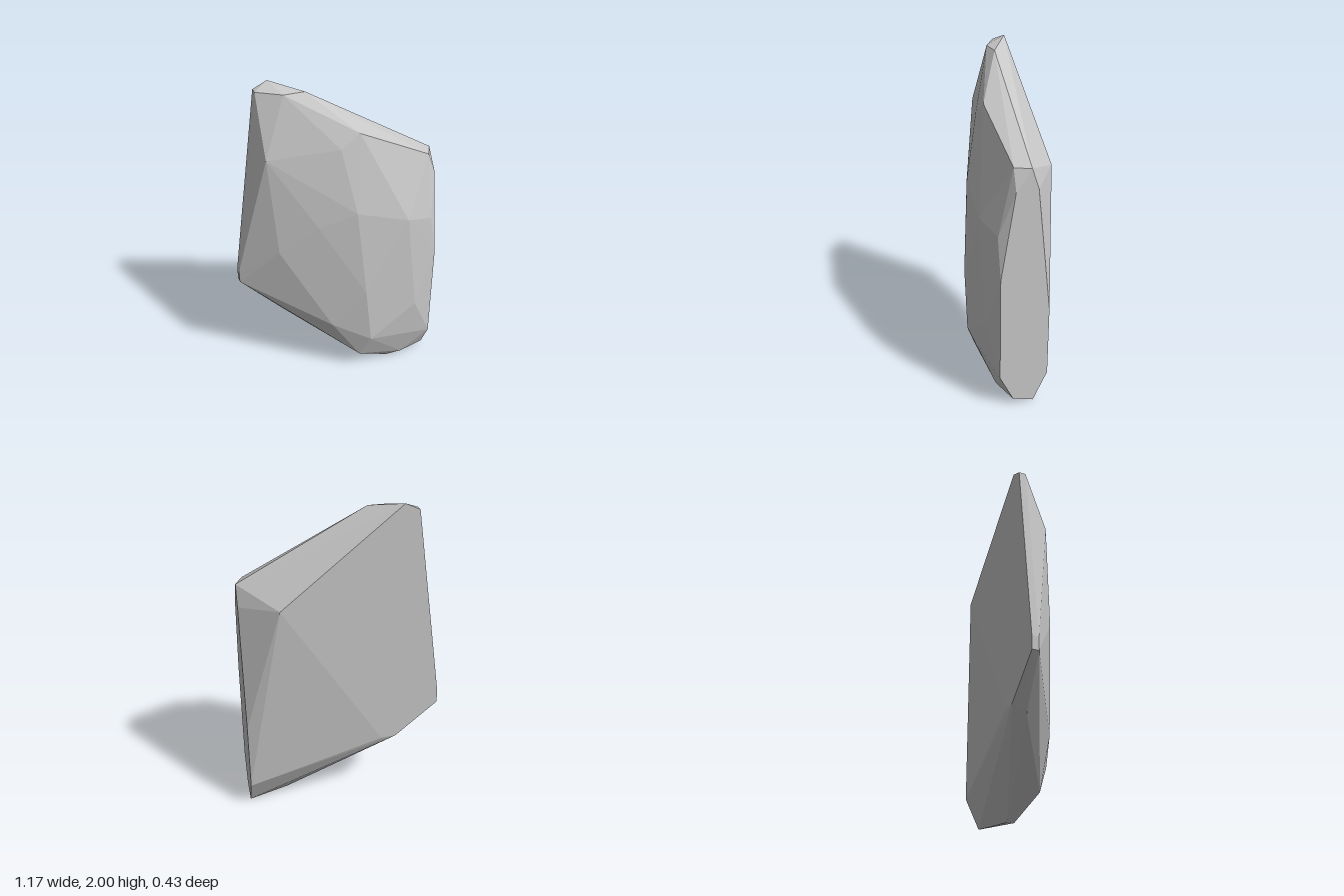
import * as THREE from 'three';
import { ConvexGeometry } from 'three/addons/geometries/ConvexGeometry.js';

// A chipped, flat-backed slab of rock: the convex hull of its corner points.
export function createModel() {
  const stone = new THREE.MeshStandardMaterial({ color: 0xc7c7c7 });
  stone.name = 'stone grey';

  const corners = [
    // flat back
    [-0.33, 2, -0.217], [-0.415, 1.96, -0.217], [0.37, 1.43, -0.217],
    [-0.588, 0.78, -0.217], [-0.588, 0.7, -0.217], [-0.33, 0.485, -0.217], [-0.24, 0.48, -0.217],
    // left edge and top ridge
    [-0.588, 0.78, -0.175], [-0.588, 0.7, -0.175], [-0.415, 1.96, -0.175],
    [-0.28, 1.96, -0.085], [-0.155, 1.96, -0.085], [0.105, 1.74, 0.087],
    [0.54, 1.525, 0.087], [-0.41, 1.6, -0.04],
    // sheer cut side
    [0.585, 1.525, 0], [0.585, 1.4, 0.09], [0.585, 0.88, 0.175], [0.585, 0.22, 0.175],
    [0.585, 0.045, 0.09], [0.585, 0, -0.04], [0.585, 0.18, -0.13],
    [0.585, 0.62, -0.13], [0.585, 1.4, -0.042],
    // faceted front
    [0.54, 1.13, 0.175], [0.37, 1.18, 0.217], [0.45, 0.52, 0.217], [0.11, 0.7, 0.217],
    [0.15, 0.31, 0.217], [0.06, 1.27, 0.175], [-0.01, 1.66, 0.088],
    [-0.15, 1.17, 0.1], [-0.37, 0.98, 0], [-0.08, 0.43, 0.13],
    // underside
    [-0.33, 0.44, -0.13], [0.1, 0.14, 0.15], [0.41, 0.045, 0.13], [0.325, 0, 0.085], [0.325, 0, 0.04],
  ].map((p) => new THREE.Vector3(...p));

  const rock = new THREE.Mesh(new ConvexGeometry(corners), stone);
  rock.name = 'rockSlab';
  const model = new THREE.Group();
  model.name = 'rock';
  model.add(rock);
  return model;
}
